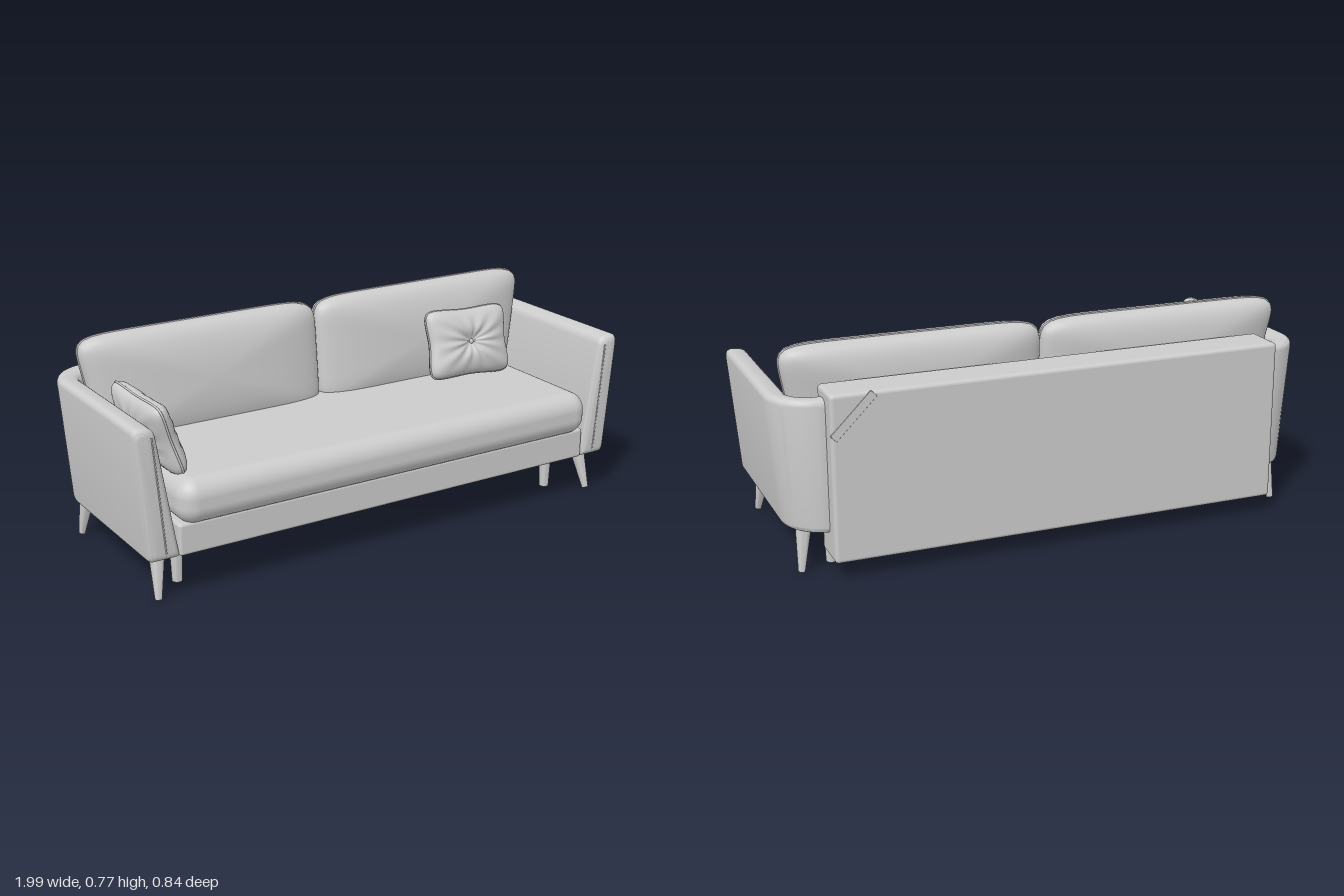
import * as THREE from 'three';
import { mergeVertices, toCreasedNormals } from 'three/addons/utils/BufferGeometryUtils.js';
import { RoundedBoxGeometry } from 'three/addons/geometries/RoundedBoxGeometry.js';

const material = new THREE.MeshStandardMaterial({ color: 0xcccccc });

function add(parent, name, geometry, x = 0, y = 0, z = 0) {
  const mesh = new THREE.Mesh(geometry, material);
  mesh.name = name;
  mesh.position.set(x, y, z);
  parent.add(mesh);
  return mesh;
}

// Box with rounded edges
function block(parent, name, [w, h, d], [x, y, z], r) {
  return add(parent, name, new RoundedBoxGeometry(w, h, d, 6, r), x, y, z);
}

// Tapered round leg between two points
function leg(parent, name, top, bottom, rTop, rBottom) {
  const a = new THREE.Vector3(...top), b = new THREE.Vector3(...bottom);
  const geometry = toCreasedNormals(new THREE.CylinderGeometry(rTop, rBottom, a.distanceTo(b), 24), 0.6);
  const mesh = add(parent, name, geometry);
  mesh.position.copy(a).add(b).multiplyScalar(0.5);
  mesh.quaternion.setFromUnitVectors(new THREE.Vector3(0, 1, 0), a.sub(b).normalize());
}

// Closed thin welt along a list of points
function piping(parent, name, points, r) {
  add(parent, name, new THREE.TubeGeometry(new THREE.CatmullRomCurve3(points, true), 140, r, 6, true));
}

// Stuffed cushion: a sphere stretched to a rounded rectangle, with a welt round its edge.
// w, h, t are half sizes; pinch draws the sides in, tuft dents the middle, taper widens the top on one side.
function cushion(parent, name, { w, h, t, n = 8, pinch = 0, tuft = 0, taper = 0, side = 1, full = 0.7 }) {
  const group = new THREE.Group();
  group.name = name;
  parent.add(group);

  const outline = (angle, rho) => {
    const c = Math.cos(angle), s = Math.sin(angle);
    const k = rho * (1 - pinch * Math.cos(2 * angle) ** 2)
      / Math.pow(Math.abs(c) ** n + Math.abs(s) ** n, 1 / n);
    const u = k * c, v = k * s;
    return [w * u + side * taper * v * (side * u + 1) / 2, h * v];
  };

  let geometry = new THREE.SphereGeometry(1, 96, 40);
  geometry.rotateX(Math.PI / 2);
  geometry.deleteAttribute('uv');
  geometry.deleteAttribute('normal');
  geometry = mergeVertices(geometry, 1e-5);
  const p = geometry.attributes.position;
  for (let i = 0; i < p.count; i++) {
    const z = p.getZ(i), rho = Math.hypot(p.getX(i), p.getY(i));
    const angle = Math.atan2(p.getY(i), p.getX(i));
    const dent = 1 - tuft * Math.exp(-((rho / 0.25) ** 2));
    const fold = 1 + 0.12 * tuft * Math.sin(angle * 12) * Math.sin(Math.PI * rho);
    const [x, y] = outline(angle, rho);
    p.setXYZ(i, x, y, t * Math.sign(z) * Math.abs(z) ** full * dent * fold);
  }
  geometry.computeVertexNormals();
  add(group, name + 'Body', geometry);

  const edge = [];
  for (let i = 0; i < 96; i++) {
    const [x, y] = outline((i / 96) * Math.PI * 2, 1);
    edge.push(new THREE.Vector3(x, y, 0));
  }
  piping(group, name + 'Piping', edge, 0.004);
  return group;
}

// Leaning arm section as [inward distance, height], with rounded corners
function armSection(inset, lean) {
  const corners = [
    [0.04 * lean + inset, 0.155 + inset], [inset, 0.625 - inset],
    [0.08 - inset, 0.615 - inset], [0.155 - inset, 0.155 + inset],
  ].map(c => new THREE.Vector2(...c));
  const radii = [0.02, 0.035, 0.03, 0.012];
  const ring = [];
  corners.forEach((c, i) => {
    const toward = q => {
      const d = q.clone().sub(c);
      return c.clone().add(d.setLength(Math.min(radii[i], d.length() * 0.45)));
    };
    const curve = new THREE.QuadraticBezierCurve(toward(corners[(i + 3) % 4]), c, toward(corners[(i + 1) % 4]));
    ring.push(...curve.getPoints(7));
  });
  return ring;
}

// Arm swept from its soft front edge straight back and round the rear corner
function armGeometry(side) {
  const stations = [];
  const R = 0.025;
  for (let i = 0; i <= 6; i++) {
    const a = (i / 6) * Math.PI / 2;
    stations.push({ x: 1, z: 0.39 - R * (1 - Math.cos(a)), angle: 0, inset: R * (1 - Math.sin(a)) });
  }
  for (let i = 0; i <= 16; i++) {
    const a = (i / 16) * Math.PI / 2;
    stations.push({ x: 0.84 + 0.16 * Math.cos(a), z: -0.2 - 0.16 * Math.sin(a), angle: a, inset: 0 });
  }
  stations.push({ x: 0.79, z: -0.36, angle: Math.PI / 2, inset: 0 });

  const positions = [], index = [];
  const tri = (a, b, c) => (side > 0 ? index.push(a, b, c) : index.push(a, c, b));
  let m = 0;
  for (const s of stations) {
    const ring = armSection(s.inset, Math.cos(s.angle));
    m = ring.length;
    for (const q of ring) {
      positions.push(side * (s.x - q.x * Math.cos(s.angle)), q.y, s.z + q.x * Math.sin(s.angle));
    }
  }
  const last = (stations.length - 1) * m, front = stations.length * m;
  positions.push(side * 0.93, 0.38, 0.39, side * 0.79, 0.38, -0.28);
  for (let j = 0; j < m; j++) {
    const k = (j + 1) % m;
    for (let i = 0; i < last; i += m) {
      tri(i + j, i + m + j, i + k);
      tri(i + k, i + m + j, i + m + k);
    }
    tri(front, j, k);
    tri(front + 1, last + k, last + j);
  }
  const geometry = new THREE.BufferGeometry();
  geometry.setAttribute('position', new THREE.Float32BufferAttribute(positions, 3));
  geometry.setIndex(index);
  return toCreasedNormals(geometry, 0.7);
}

export function createModel() {
  const sofa = new THREE.Group();
  sofa.name = 'sofa';

  // Base, seat and back
  block(sofa, 'seatRail', [1.7, 0.115, 0.65], [0, 0.2125, 0.06], 0.012);
  block(sofa, 'underFrame', [1.66, 0.05, 0.52], [0, 0.143, 0.01], 0.005);
  block(sofa, 'seatCushion', [1.7, 0.16, 0.66], [0, 0.339, 0.09], 0.065);
  block(sofa, 'backPanel', [1.66, 0.587, 0.157], [0, 0.3585, -0.3415], 0.014);

  // Pull strap across a rear corner of the back panel
  const strap = block(sofa, 'pullStrap', [0.2, 0.03, 0.006], [0.752, 0.575, -0.419], 0.002);
  strap.rotation.z = -Math.PI / 4;

  for (const side of [1, -1]) {
    const word = side > 0 ? 'left' : 'right';

    // Arm with a seam on its front edge
    add(sofa, word + 'Arm', armGeometry(side));
    const seam = new THREE.LineCurve3(
      new THREE.Vector3(side * 0.935, 0.59, 0.389), new THREE.Vector3(side * 0.9, 0.18, 0.389));
    add(sofa, word + 'ArmSeam', new THREE.TubeGeometry(seam, 4, 0.003, 6));

    // Splayed outer legs and straight inner legs
    leg(sofa, word + 'FrontLeg', [side * 0.895, 0.17, 0.3], [side * 0.915, 0.003, 0.345], 0.029, 0.012);
    leg(sofa, word + 'BackLeg', [side * 0.895, 0.17, -0.262], [side * 0.915, 0.003, -0.29], 0.029, 0.012);
    for (const [end, z] of [['Front', 0.24], ['Back', -0.23]]) {
      leg(sofa, word + 'Inner' + end + 'Leg', [side * 0.795, 0.13, z], [side * 0.795, 0, z], 0.023, 0.018);
    }

    // Back cushion
    const back = cushion(sofa, word + 'BackCushion', {
      w: 0.455, h: 0.205, t: 0.094, n: 9, taper: 0.04, side, full: 0.68,
    });
    back.position.set(side * 0.456, 0.566, -0.168);
    back.rotation.x = -0.1;
  }

  // Tufted throw pillows with a centre button
  const places = [
    ['leftThrowPillow', [0.585, 0.557, -0.005], [-0.28, 0, -0.04]],
    ['rightThrowPillow', [-0.832, 0.53, 0.145], [-0.32, Math.PI / 2, 0]],
  ];
  for (const [name, position, [tilt, turn, roll]] of places) {
    const pillow = cushion(sofa, name, {
      w: 0.182, h: 0.13, t: 0.056, n: 10, pinch: 0.05, tuft: 0.5, full: 0.85,
    });
    pillow.position.set(...position);
    pillow.rotation.set(tilt, turn, roll, 'YXZ');
    const button = add(pillow, name + 'Button', new THREE.SphereGeometry(0.01, 16, 10), 0, 0, 0.029);
    button.scale.z = 0.5;
  }

  return sofa;
}
